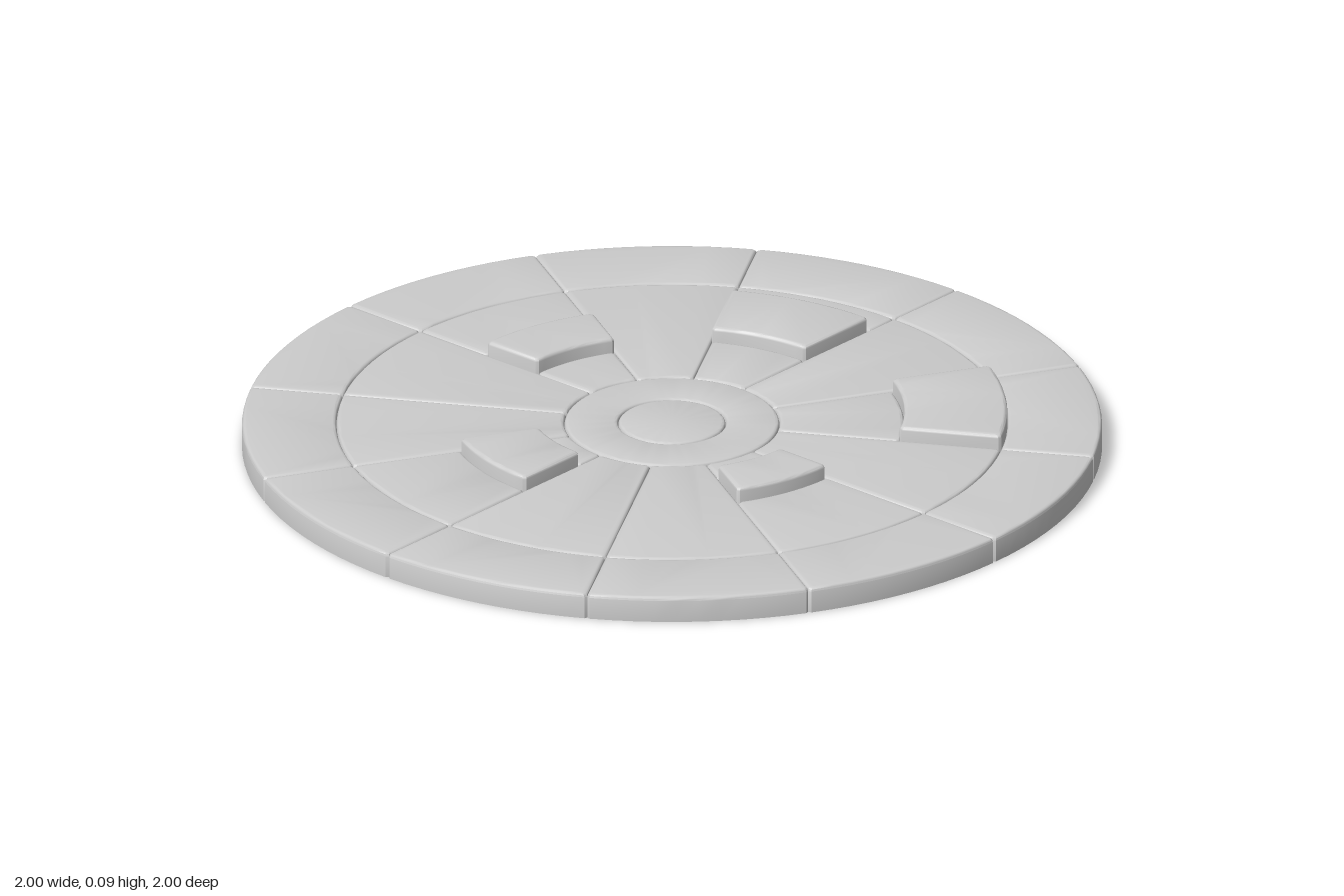
import * as THREE from 'three';
import { toCreasedNormals } from 'three/addons/utils/BufferGeometryUtils.js';

const FLAT = 0.062, RAISED = 0.095;      // tile heights
const HUB = 0.125, INNER = 0.25, RING = 0.78, RIM = 1;
const BEVEL = 0.009, CHAMFER = 0.006, ARC = 10, STEPS = 3, CREASE = 0.6;
const SECTOR = Math.PI / 6;

const material = new THREE.MeshStandardMaterial({ color: 0xcccccc, side: THREE.DoubleSide });

// Plan outline of a ring sector, inset by d, with clipped corners (counter-clockwise)
function sectorOutline(r0, r1, a0, a1, d) {
  const points = [];
  const add = (r, a) => points.push(new THREE.Vector2(r * Math.cos(a), r * Math.sin(a)));
  const arc = (r, reverse) => {
    const trim = (d + CHAMFER) / r;
    for (let i = 0; i <= ARC; i++) {
      const t = reverse ? 1 - i / ARC : i / ARC;
      add(r, THREE.MathUtils.lerp(a0 + trim, a1 - trim, t));
    }
  };
  const inner = r0 + d, outer = r1 - d;
  const low = inner + CHAMFER, high = outer - CHAMFER;
  add(low, a0 + d / low);
  add(high, a0 + d / high);
  arc(outer, false);
  add(high, a1 - d / high);
  add(low, a1 - d / low);
  arc(inner, true);
  return points;
}

// Inset and height of each step of the rounded top edge
function bevelSteps(height) {
  return Array.from({ length: STEPS + 1 }, (_, i) => {
    const t = (i / STEPS) * Math.PI / 2;
    return [BEVEL * (1 - Math.cos(t)), height - BEVEL + BEVEL * Math.sin(t)];
  });
}

// Open-bottomed tile: walls, rounded edge and top
function tileGeometry(r0, r1, a0, a1, height) {
  const positions = [], index = [];
  const levels = [[0, 0], ...bevelSteps(height)];
  let outline;
  for (const [inset, y] of levels) {
    outline = sectorOutline(r0, r1, a0, a1, inset);
    for (const p of outline) positions.push(p.x, y, -p.y);
  }
  const n = outline.length;
  for (let l = 0; l < levels.length - 1; l++) {
    for (let i = 0; i < n; i++) {
      const a = l * n + i, b = l * n + (i + 1) % n;
      index.push(a, b, b + n, a, b + n, a + n);
    }
  }
  const top = (levels.length - 1) * n;
  for (const f of THREE.ShapeUtils.triangulateShape(outline, [])) {
    index.push(top + f[0], top + f[1], top + f[2]);
  }
  const geometry = new THREE.BufferGeometry();
  geometry.setAttribute('position', new THREE.Float32BufferAttribute(positions, 3));
  geometry.setIndex(index);
  return toCreasedNormals(geometry, CREASE);
}

// Round open-bottomed piece; r0 = 0 gives a full disc
function roundGeometry(r0, r1) {
  const steps = bevelSteps(FLAT);
  const profile = [new THREE.Vector2(r1, 0), ...steps.map(([d, y]) => new THREE.Vector2(r1 - d, y))];
  if (r0 > 0) {
    profile.push(...steps.reverse().map(([d, y]) => new THREE.Vector2(r0 + d, y)));
    profile.push(new THREE.Vector2(r0, 0));
  } else {
    profile.push(new THREE.Vector2(0, FLAT));
  }
  return toCreasedNormals(new THREE.LatheGeometry(profile, 72), CREASE);
}

export function createModel() {
  const model = new THREE.Group();
  model.name = 'segmentedDisc';
  const add = (name, geometry, parent = model) => {
    const mesh = new THREE.Mesh(geometry, material);
    mesh.name = name;
    parent.add(mesh);
  };

  // Centre
  add('hubDisc', roundGeometry(0, HUB));
  add('hubRing', roundGeometry(HUB, INNER));

  // Sector number -> inner and outer radius of its raised block
  const raised = {
    0: [0.465, 0.69],
    2: [0.418, 0.574],
    5: [0.325, 0.518],
    8: [0.335, 0.478],
    10: [0.54, RING],
  };

  // Twelve sectors, each with a rim tile and one or more inner tiles
  for (let k = 0; k < 12; k++) {
    const sector = new THREE.Group();
    sector.name = `sector${k + 1}`;
    model.add(sector);
    const a0 = k * SECTOR, a1 = a0 + SECTOR;
    add('rimTile', tileGeometry(RING, RIM, a0, a1, FLAT), sector);
    if (!raised[k]) {
      add('innerTile', tileGeometry(INNER, RING, a0, a1, FLAT), sector);
      continue;
    }
    const [r0, r1] = raised[k];
    add('innerTile', tileGeometry(INNER, r0, a0, a1, FLAT), sector);
    add('raisedBlock', tileGeometry(r0, r1, a0, a1, RAISED), sector);
    if (r1 < RING) add('middleTile', tileGeometry(r1, RING, a0, a1, FLAT), sector);
  }
  return model;
}
